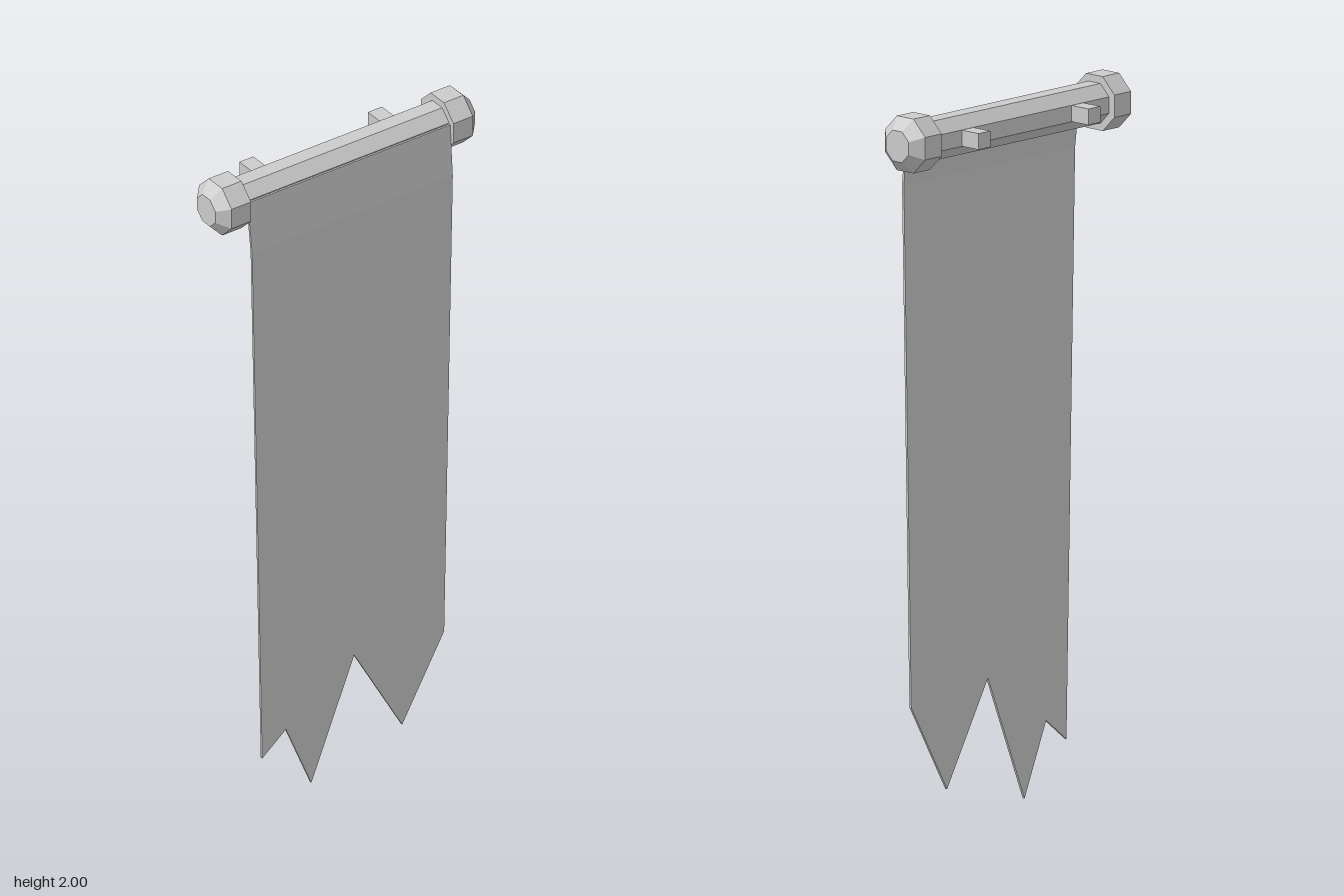
import * as THREE from 'three';

const AXIS_Y = 1.925, AXIS_Z = 0.02;   // centre line of the rod
const FOLD_Y = 1.79;                   // height where the cloth starts to hang straight
const CLOTH_TOP = 1.945, CLOTH_FRONT = 0.097, THICKNESS = 0.007;

export function createModel() {
  const banner = new THREE.Group();
  banner.name = 'hangingBanner';
  const material = new THREE.MeshStandardMaterial({ color: 0xcccccc, flatShading: true });

  const add = (name, geometry, x = 0, y = 0, z = 0) => {
    const mesh = new THREE.Mesh(geometry, material);
    mesh.name = name;
    mesh.position.set(x, y, z);
    banner.add(mesh);
    return mesh;
  };

  // Octagonal solid turned around the x axis, with flats facing up and forward
  const octagonal = (profile) =>
    new THREE.LatheGeometry(profile.map(([r, x]) => new THREE.Vector2(r / Math.cos(Math.PI / 8), x)), 8)
      .rotateY(Math.PI / 8)
      .rotateZ(-Math.PI / 2);

  // Rod
  add('rod', octagonal([[0.0555, -0.35], [0.0555, 0.35]]), 0, AXIS_Y, AXIS_Z);

  // Chamfered end caps and square wall pegs, one on each side
  for (const side of [1, -1]) {
    const prefix = side > 0 ? 'left' : 'right';
    const cap = add(prefix + 'EndCap',
      octagonal([[0, 0.34], [0.076, 0.34], [0.076, 0.405], [0.043, 0.436], [0, 0.436]]),
      0, AXIS_Y, AXIS_Z);
    if (side < 0) cap.rotation.y = Math.PI;
    add(prefix + 'WallPeg', new THREE.BoxGeometry(0.047, 0.045, 0.08), side * 0.216, AXIS_Y, -0.059);
  }

  // Thin sheet of cloth cut from an outline
  const sheet = (outline) => {
    const shape = new THREE.Shape(outline.map(([x, y]) => new THREE.Vector2(x, y)));
    return new THREE.ExtrudeGeometry(shape, { depth: THICKNESS, bevelEnabled: false })
      .translate(0, 0, CLOTH_FRONT - THICKNESS);
  };

  // Hanging cloth with a torn lower edge
  add('cloth', sheet([
    [-0.337, FOLD_Y], [-0.303, 0.14], [-0.223, 0.205], [-0.138, 0],
    [0.006, 0.36], [0.167, 0.075], [0.308, 0.325], [0.337, FOLD_Y],
  ]));

  // Upper strip of cloth, leaning back to meet the rod
  const strip = sheet([[-0.34, CLOTH_TOP], [-0.337, FOLD_Y], [0.337, FOLD_Y], [0.34, CLOTH_TOP]]);
  const p = strip.attributes.position;
  for (let i = 0; i < p.count; i++) {
    const t = (p.getY(i) - FOLD_Y) / (CLOTH_TOP - FOLD_Y);
    p.setZ(i, p.getZ(i) - 0.016 * t);
  }
  strip.computeVertexNormals();
  add('clothTop', strip);

  return banner;
}
